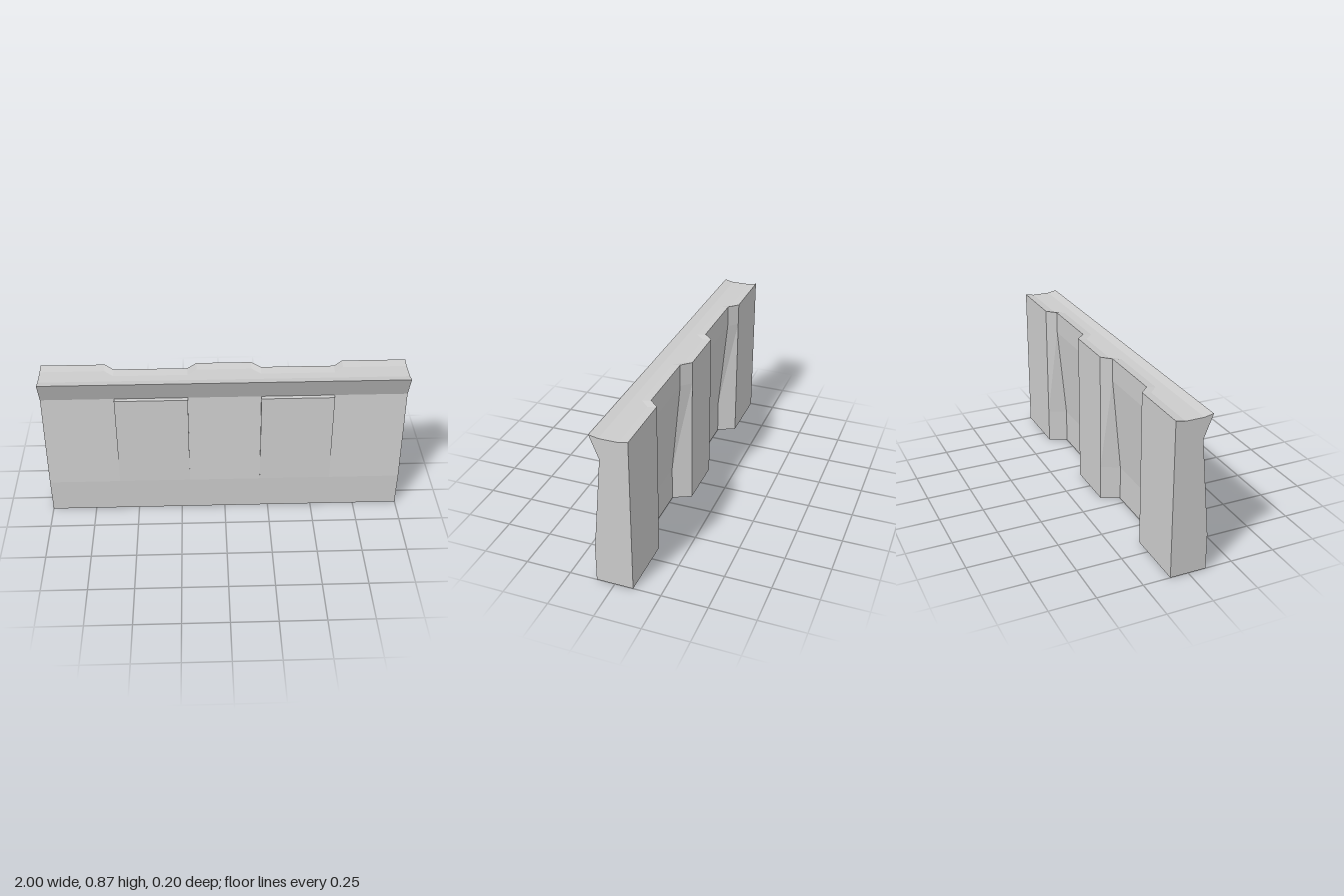
import * as THREE from 'three';

const material = new THREE.MeshStandardMaterial({ color: 0xcccccc, flatShading: true });

// Wall cross-section as [z, y]; r = 0 at a rear pier, r = 1 in a rear recess
const section = (r) => [
  [0.1, 0], [0.1, 0.2], [0.05, 0.74], [0.1, 0.865], [0.05, 0.855],
  [-0.05 + 0.05 * r, 0.855], [-0.1 + 0.05 * r, 0.865], [-0.1 + 0.05 * r, 0.74],
  [-0.1 + 0.1 * r, 0.2], [-0.1 + 0.1 * r, 0],
];

// Stations along the wall as [x, recess]
const stations = [
  [-1, 0], [-0.65, 0], [-0.6, 1], [-0.2, 1], [-0.15, 0],
  [0.15, 0], [0.2, 1], [0.6, 1], [0.65, 0], [1, 0],
];

function wallGeometry() {
  const pos = [];
  const rings = stations.map(([x, r]) => section(r).map(([z, y]) => [x, y, z]));
  const tri = (a, b, c) => pos.push(...a, ...b, ...c);
  // Skin between neighbouring sections
  for (let i = 0; i < rings.length - 1; i++) {
    const p = rings[i], q = rings[i + 1], n = p.length;
    for (let j = 0; j < n; j++) {
      const k = (j + 1) % n;
      tri(p[j], q[j], q[k]);
      tri(p[j], q[k], p[k]);
    }
  }
  // End caps
  const outline = section(0).map(([z, y]) => new THREE.Vector2(z, y));
  const first = rings[0], last = rings[rings.length - 1];
  for (const [a, b, c] of THREE.ShapeUtils.triangulateShape(outline, [])) {
    tri(first[a], first[b], first[c]);
    tri(last[a], last[c], last[b]);
  }
  const geo = new THREE.BufferGeometry();
  geo.setAttribute('position', new THREE.Float32BufferAttribute(pos, 3));
  geo.computeVertexNormals();
  return geo;
}

// Thin wedge standing proud of the sloping front face
function panelGeometry(width) {
  const shape = new THREE.Shape([[0.1, 0.2], [0.075, 0.74], [0.05, 0.74]].map(([z, y]) => new THREE.Vector2(z, y)));
  const geo = new THREE.ExtrudeGeometry(shape, { depth: width, bevelEnabled: false });
  return geo.translate(0, 0, -width / 2).rotateY(-Math.PI / 2);
}

export function createModel() {
  const group = new THREE.Group();
  group.name = 'parapetWall';

  const wall = new THREE.Mesh(wallGeometry(), material);
  wall.name = 'wall';
  group.add(wall);

  for (const side of [-1, 1]) {
    const panel = new THREE.Mesh(panelGeometry(0.4), material);
    panel.name = side > 0 ? 'leftFrontPanel' : 'rightFrontPanel';
    panel.position.x = side * 0.4;
    group.add(panel);
  }
  return group;
}
